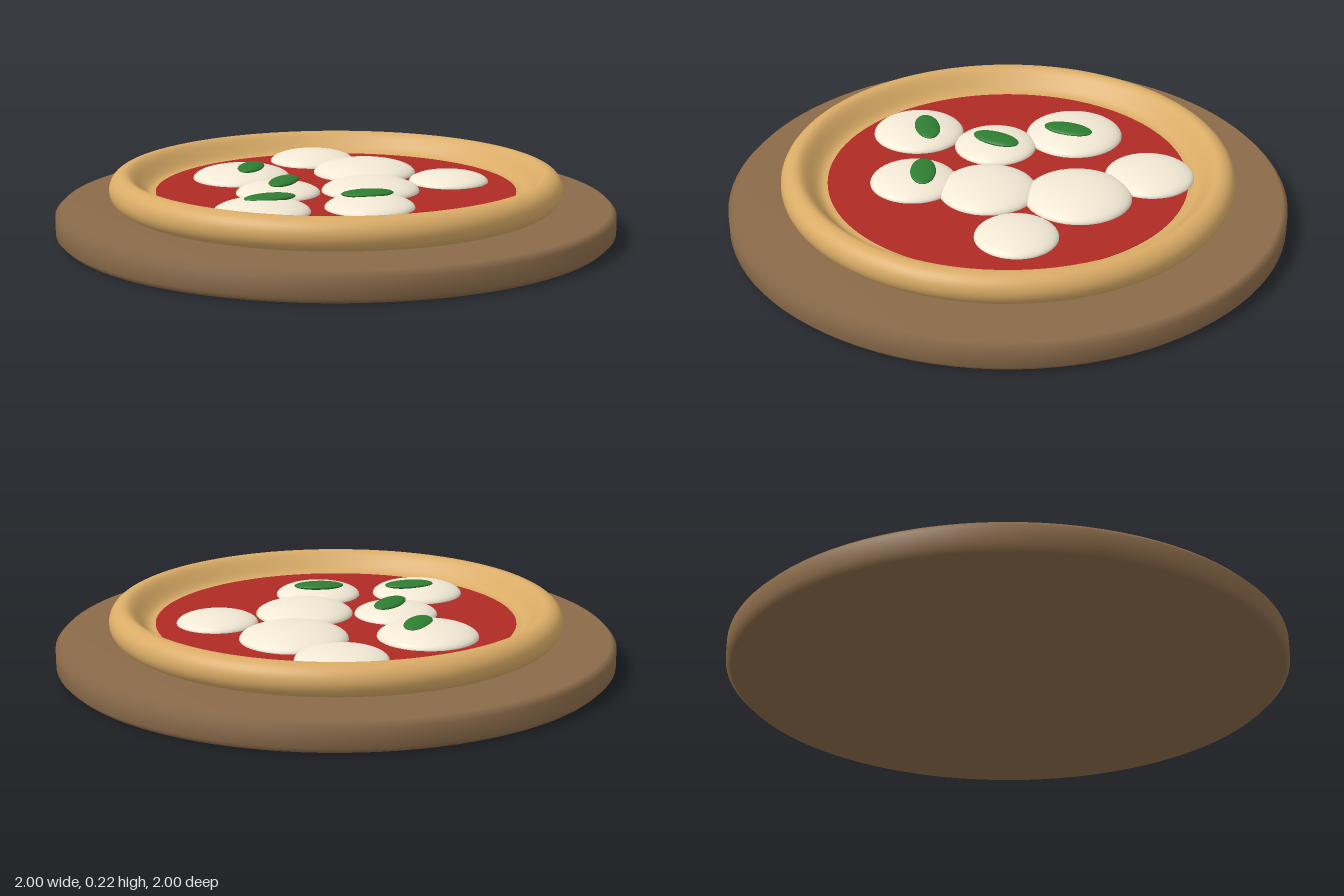
import * as THREE from 'three';

const SAUCE_Y = 0.152;

function mesh(name, geometry, color) {
  const m = new THREE.Mesh(geometry, new THREE.MeshStandardMaterial({ color }));
  m.name = name;
  return m;
}

function lathe(points) {
  return new THREE.LatheGeometry(points.map(([x, y]) => new THREE.Vector2(x, y)), 96);
}

export function createModel() {
  const group = new THREE.Group();
  group.name = 'pizzaOnBoard';

  // Round wooden board with a softened edge
  group.add(mesh('board', lathe([
    [0, 0], [0.98, 0], [1, 0.02], [1, 0.085], [0.98, 0.105], [0, 0.105],
  ]), 0x8b6b4a));

  // Dough: flat base, rounded outer rim, then an S-shaped slope down to the sauce
  const profile = [[0, 0.108], [0.7, 0.108]];
  for (let i = 0; i <= 16; i++) {
    const a = -Math.PI / 2 + (Math.PI * i) / 16;
    profile.push([0.754 + 0.056 * Math.cos(a), 0.165 + 0.057 * Math.sin(a)]);
  }
  for (let i = 1; i <= 10; i++) {
    const t = i / 10;
    profile.push([0.754 - 0.096 * t, 0.186 + 0.036 * Math.cos(Math.PI * t)]);
  }
  profile.push([0.64, 0.15], [0, 0.148]);
  group.add(mesh('crust', lathe(profile), 0xd9ab66));

  // Sauce layer
  const sauce = mesh('sauce', new THREE.CylinderGeometry(0.645, 0.645, 0.02, 96), 0xb02a24);
  sauce.position.y = SAUCE_Y - 0.01;
  group.add(sauce);

  // Melted cheese rounds: x, z, radius
  const cheese = [
    [-0.045, -0.505, 0.16], [0.132, -0.262, 0.19], [-0.33, -0.212, 0.178], [0.42, -0.075, 0.145],
    [-0.213, 0.07, 0.15], [0.118, 0.058, 0.175], [-0.287, 0.367, 0.167], [0.085, 0.328, 0.156],
  ];
  const ball = new THREE.SphereGeometry(1, 40, 24);
  cheese.forEach(([x, z, r], i) => {
    const c = mesh(`cheese${i + 1}`, ball, 0xf2e9d5);
    c.position.set(x, SAUCE_Y, z);
    c.scale.set(r, r * 0.26, r);
    group.add(c);
  });

  // Basil leaves: x, z, turn about the vertical
  const leaves = [
    [-0.296, -0.192, 1.3], [-0.192, 0.065, 1.15], [-0.257, 0.33, 0.28], [0.08, 0.295, 0.13],
  ];
  leaves.forEach(([x, z, turn], i) => {
    const leaf = mesh(`basilLeaf${i + 1}`, ball, 0x2e7d32);
    leaf.position.set(x, 0.195, z);
    leaf.scale.set(0.092, 0.013, 0.046);
    leaf.rotation.y = turn;
    group.add(leaf);
  });

  return group;
}
